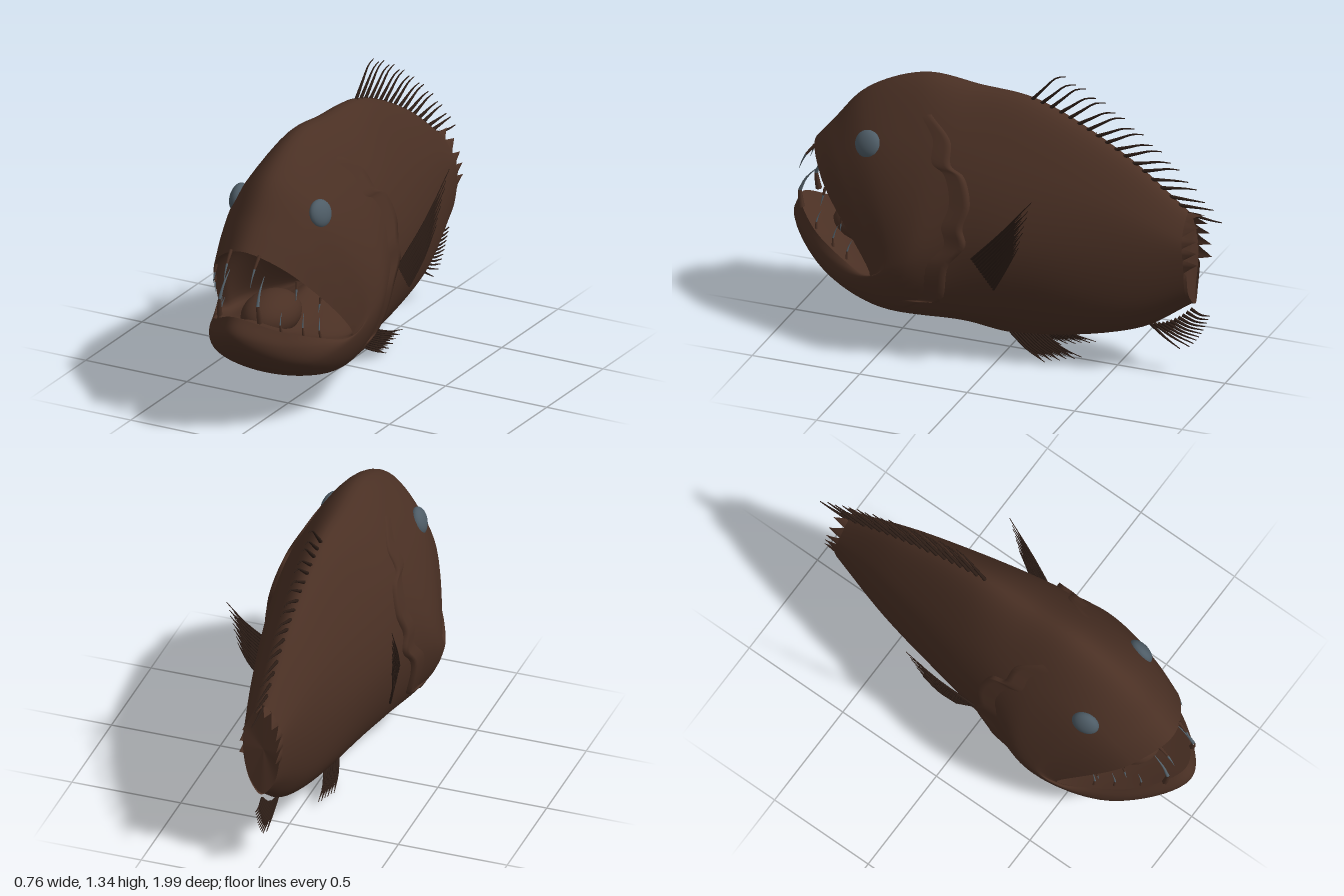
import * as THREE from 'three';

const mat = (name, color, side = THREE.FrontSide) => {
  const m = new THREE.MeshStandardMaterial({ color, side });
  m.name = name;
  return m;
};
const skin = mat('brown skin', 0x4a3024, THREE.DoubleSide);
const finDark = mat('dark fin', 0x2c1d16, THREE.DoubleSide);
const eyeGrey = mat('slate eye', 0x4e5c66);
const toothGrey = mat('slate tooth', 0x56636c);

const V = (x, y, z) => new THREE.Vector3(x, y, z);
const curve = (pts, closed = false) => new THREE.CatmullRomCurve3(pts, closed);
const midline = pts => curve(pts.map(([y, z]) => V(0, y, z)));
const flank = pts => curve(pts.map(p => V(...p)));

// Lengthwise lines of the body, from lip to tail
const back = midline([[.85, .9], [.96, .81], [1.12, .67], [1.24, .4], [1.225, .15], [1.2, -.13], [1.01, -.53], [.79, -.83]]);
const upperFlank = flank([[.19, .74, .8], [.2, .85, .71], [.208, .96, .58], [.215, 1, .34],
  [.215, .98, .13], [.19, .95, -.1], [.13, .83, -.53], [.08, .69, -.83]]);
const midFlank = flank([[.33, .39, .52], [.347, .42, .48], [.365, .47, .43], [.372, .51, .33],
  [.32, .56, .15], [.275, .58, -.1], [.175, .57, -.53], [.09, .57, -.84]]);
const lowerFlank = flank([[.18, .48, .83], [.215, .41, .81], [.25, .32, .73], [.26, .22, .5],
  [.2, .21, .15], [.18, .25, -.1], [.12, .29, -.53], [.06, .42, -.84]]);
const belly = midline([[.57, .97], [.49, 1], [.38, .94], [.2, .66], [.12, .22], [.08, -.02], [.2, -.6], [.36, -.85]]);

// Closed cross-section at s (0 = lips, 1 = tail)
const N = 72;
function ring(s) {
  const half = [back, upperFlank, midFlank, lowerFlank, belly].map(l => l.getPoint(s));
  const other = half.slice(1, 4).reverse().map(p => V(-p.x, p.y, p.z));
  const c = curve([...half, ...other], true);
  return Array.from({ length: N }, (_, j) => c.getPoint(j / N));
}

// Skin over a list of rows of points
function loft(rows, closed, flip = false) {
  const n = rows[0].length, idx = [];
  for (let i = 0; i < rows.length - 1; i++) {
    for (let j = 0; j < (closed ? n : n - 1); j++) {
      const k = (j + 1) % n, a = i * n + j, b = i * n + k, c = a + n, d = b + n;
      if (flip) idx.push(a, c, b, b, c, d);
      else idx.push(a, b, c, b, d, c);
    }
  }
  const g = new THREE.BufferGeometry().setFromPoints(rows.flat());
  g.setIndex(idx);
  g.computeVertexNormals();
  return g;
}

function add(parent, name, geometry, material) {
  const m = new THREE.Mesh(geometry, material);
  m.name = name;
  parent.add(m);
  return m;
}

// Tube tapered from thickness r0 to r1
function spineGeometry(pts, r0, r1, seg = 8, sides = 6) {
  const c = curve(pts), g = new THREE.TubeGeometry(c, seg, r0, sides);
  const p = g.attributes.position, v = V(0, 0, 0);
  for (let i = 0; i <= seg; i++) {
    const o = c.getPointAt(i / seg), k = 1 + (r1 / r0 - 1) * i / seg;
    for (let j = 0; j <= sides; j++) {
      const q = i * (sides + 1) + j;
      v.fromBufferAttribute(p, q).sub(o).multiplyScalar(k).add(o);
      p.setXYZ(q, v.x, v.y, v.z);
    }
  }
  return g;
}

// Ragged paired fin: rays spread between a root edge and a tip edge, joined by a web
function pairedFin(parent, name, s, [a0, a1], [b0, b1], count) {
  const fin = new THREE.Group();
  fin.name = name;
  const roots = [], mids = [], tips = [];
  for (let i = 0; i < count; i++) {
    const t = i / (count - 1);
    const a = a0.clone().lerp(a1, t), b = b0.clone().lerp(b1, t);
    b.lerp(a, .12 * (i % 2) + .05 * ((i * 3) % 4) / 4);
    const m = a.clone().lerp(b, .5).add(V(.008, -.008, 0));
    [a, m, b].forEach(p => { p.x *= s; });
    add(fin, 'finRay', spineGeometry([a, m, b], .006, .0015, 6, 5), finDark);
    roots.push(a);
    mids.push(m);
    tips.push(m.clone().lerp(b, i % 2 ? .5 : .9));
  }
  add(fin, 'finWeb', loft([roots, mids, tips], false), finDark);
  parent.add(fin);
}

// Height of the back at depth z
function backHeight(z) {
  let lo = .4, hi = 1;
  for (let i = 0; i < 24; i++) {
    const m = (lo + hi) / 2;
    if (back.getPoint(m).z > z) lo = m;
    else hi = m;
  }
  return back.getPoint(lo).y;
}

export function createModel() {
  const fish = new THREE.Group();
  fish.name = 'deepSeaFish';

  // Body
  const rows = Array.from({ length: 61 }, (_, i) => ring(i / 60));
  const body = add(fish, 'body', loft(rows, true), skin);

  // Mouth lining runs back from the lips and closes at the throat
  const lining = Array.from({ length: 15 }, (_, i) => {
    const f = i / 14, close = f ** 4;
    return rows[0].map((p, j) => {
      const low = Math.max(0, -Math.cos(j / N * Math.PI * 2));
      return V(p.x * (1 - close) * (1 - .06 * Math.min(1, f * 6)),
        THREE.MathUtils.lerp(p.y, .5, close) - .11 * low * Math.sin(Math.PI * f),
        THREE.MathUtils.lerp(p.z, .25, f));
    });
  });
  add(fish, 'mouthLining', loft(lining, true, true), skin);
  const tongue = add(fish, 'tongue', new THREE.SphereGeometry(1, 24, 16), skin);
  tongue.scale.set(.12, .1, .17);
  tongue.position.set(0, .475, .65);

  // Tail stump with a torn edge
  const end = rows[60];
  const torn = end.map((p, j) => V(p.x * .92, p.y, p.z - (p.y > .52 ? .022 * ((j * 3) % 4) : .012)));
  add(fish, 'tornTailEdge', loft([end, torn], true), skin);
  add(fish, 'tailStump', loft([end, end.map(() => V(0, .57, -.83))], true), skin);

  // Dorsal spines
  const dorsal = new THREE.Group();
  dorsal.name = 'dorsalFin';
  for (let i = 0; i < 18; i++) {
    const t = i / 17, z = -.1 - .725 * t, y = backHeight(z) - .01;
    const dz = -.16 - .02 * Math.sin(Math.PI * t), dy = .14 - .145 * t - (i % 2) * .012;
    add(dorsal, 'dorsalSpine', spineGeometry([V(0, y, z), V(0, y + dy * .45, z + dz * .35),
      V(0, y + dy * .9, z + dz * .72), V(0, y + dy, z + dz)], .009, .002), finDark);
  }
  fish.add(dorsal);

  // Anal fin spines
  const anal = new THREE.Group();
  anal.name = 'analFin';
  for (let i = 0; i < 11; i++) {
    const t = i / 10, z = -.65 - .19 * t, y = .23 + .1 * t * t;
    const tz = -.79 - .14 * Math.sqrt(t), ty = .13 + .18 * t;
    add(anal, 'analSpine', spineGeometry([V(0, y, z), V(0, y * .55 + ty * .45 - .012, (z + tz) / 2),
      V(0, ty, tz)], .008, .002), finDark);
  }
  fish.add(anal);

  // Outer x of the body at a given height and depth
  const ray = new THREE.Raycaster();
  const surfaceX = (y, z) => {
    ray.set(V(1, y, z), V(-1, 0, 0));
    const hit = ray.intersectObject(body)[0];
    return hit ? hit.point.x : 0;
  };

  // Gill cover: a shallow flap whose rear edge lifts off the flank
  const gillLine = midline([[1.12, .31], [1.03, .2], [.94, .18], [.9, .115], [.78, .075],
    [.68, .1], [.6, .085], [.5, .16], [.31, .21], [.29, .3], [.24, .38]]);
  const gill = Array.from({ length: 57 }, (_, i) => {
    const p = gillLine.getPoint(i / 56), lift = .02 * Math.sqrt(Math.max(0, Math.sin(Math.PI * i / 56)));
    const row = [V(surfaceX(p.y, p.z) - .01, p.y, p.z)];
    for (let k = 0; k < 5; k++) {
      const z = p.z + .0275 * k;
      row.push(V(surfaceX(p.y, z) + lift * (1 - k / 4) - .001 * k, p.y, z));
    }
    return row;
  });

  // Teeth: root, tip, forward bow and thickness
  const teeth = [
    [V(.1, .55, .93), V(.085, .74, .865), .04, .014],
    [V(.07, .84, .88), V(.065, .715, .955), .012, .009],
    [V(.2, .71, .78), V(.205, .625, .8), 0, .008],
    [V(.26, .61, .68), V(.255, .54, .69), 0, .007],
    [V(.155, .48, .84), V(.145, .57, .82), .01, .007],
    [V(.21, .44, .74), V(.2, .54, .72), .01, .007],
    [V(.25, .41, .66), V(.235, .5, .64), .01, .007],
  ];

  const mirror = (p, s) => V(p.x * s, p.y, p.z);
  for (const s of [1, -1]) {
    const side = s > 0 ? 'left' : 'right';
    const eye = add(fish, side + 'Eye', new THREE.SphereGeometry(1, 24, 16), eyeGrey);
    eye.scale.set(.035, .063, .063);
    eye.position.set(s * (surfaceX(.955, .58) - .008), .955, .58);
    eye.rotation.set(0, -s * .2, s * .25);

    add(fish, side + 'GillCover', loft(gill.map(r => r.map(p => mirror(p, s))), false, s > 0), skin);

    pairedFin(fish, side + 'PectoralFin', s, [V(.3, .54, .06), V(.295, .41, -.04)],
      [V(.38, .9, -.25), V(.355, .66, -.18)], 13);
    pairedFin(fish, side + 'PelvicFin', s, [V(.05, .1, -.02), V(.04, .115, -.17)],
      [V(.095, .003, -.2), V(.085, .05, -.37)], 11);

    // Brown-rooted teeth with grey points
    for (const [root, tip, bow, r] of teeth) {
      const mid = root.clone().lerp(tip, .5).add(V(0, 0, bow));
      const c = curve([root, mid, tip].map(p => mirror(p, s)));
      const part = (a, b) => [a, (a + b) / 2, b].map(t => c.getPoint(t));
      add(fish, side + 'ToothRoot', spineGeometry(part(0, .4), r, r * .6, 4), skin);
      add(fish, side + 'ToothPoint', spineGeometry(part(.4, 1), r * .6, r * .1, 6), toothGrey);
    }
  }
  return fish;
}
